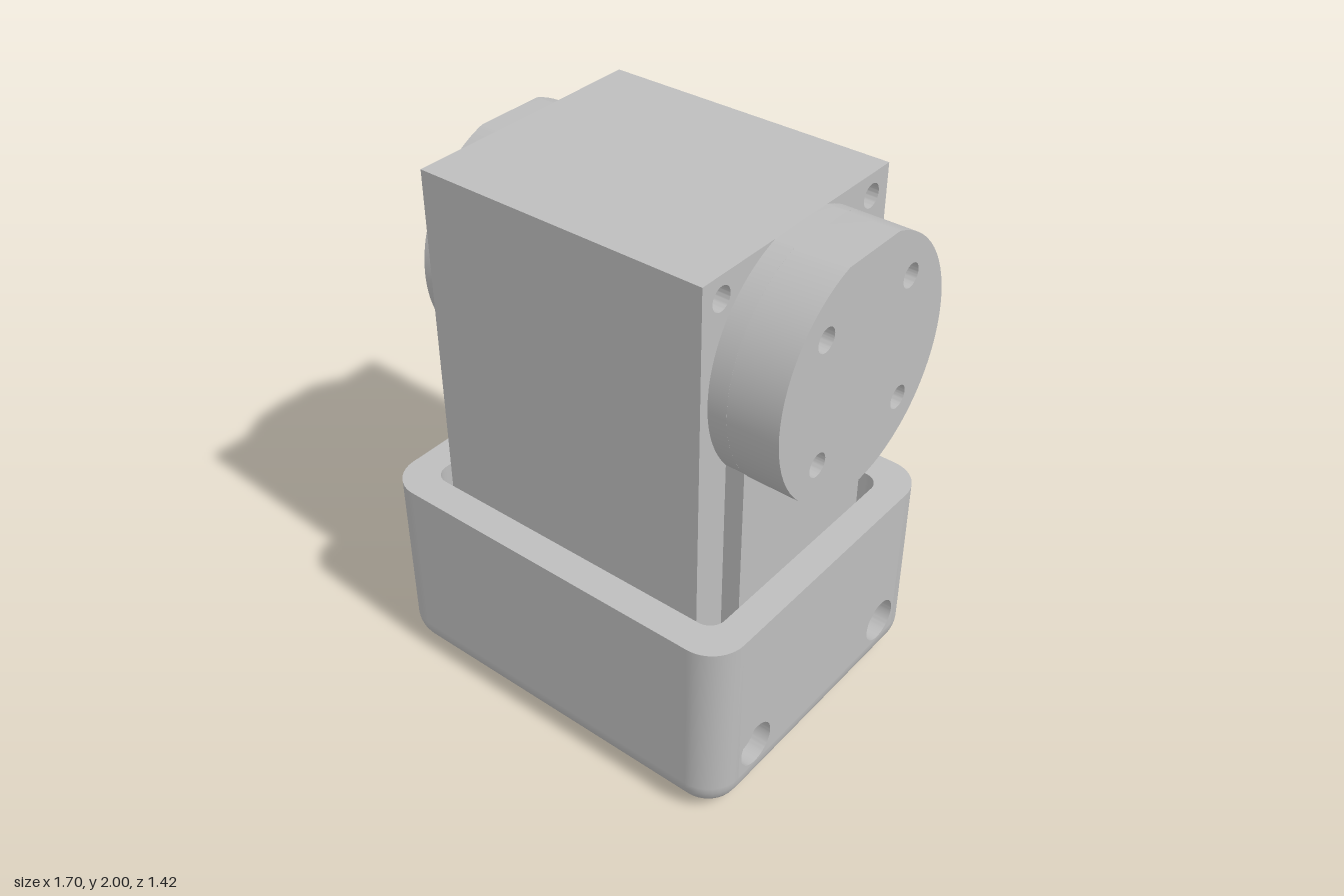
import * as THREE from 'three';
import { toCreasedNormals } from 'three/addons/utils/BufferGeometryUtils.js';

const grey = new THREE.MeshStandardMaterial({ color: 0xbdbdbd });
grey.name = 'plain grey';

const AXIS = 1.58, R = 0.44, TOP = 2;        // output axis height, flange radius, top plane
const HX = 0.745, HZ = 0.61, RIM = 0.76, FILLET = 0.13; // cup half sizes, rim height, rounding
const IX = 0.63, IZ = 0.49, FLOOR = 0.12, INNER = 0.06; // cavity half sizes, floor, rounding
const CORNER = 0.385, BOLT = 0.225;          // screw spacings from the middle

function part(parent, name, geometry) {
  const mesh = new THREE.Mesh(geometry, grey);
  mesh.name = name;
  parent.add(mesh);
  return mesh;
}

function rect(hw, y0, y1) {
  return new THREE.Shape([[-hw, y0], [hw, y0], [hw, y1], [-hw, y1]].map(p => new THREE.Vector2(...p)));
}

function drill(shape, u, v, r) {
  shape.holes.push(new THREE.Path().absarc(u, v, r, 0, Math.PI * 2, true));
}

function drillPairs(shape, du, v0, v1, r) {
  for (const u of [-du, du]) for (const v of [v0, v1]) drill(shape, u, v, r);
}

function extrude(shape, depth) {
  return toCreasedNormals(new THREE.ExtrudeGeometry(shape, { depth, bevelEnabled: false, curveSegments: 32 }), 0.5);
}

// Extrudes a (z, y) profile along x between two positions
function extrudeX(shape, x0, x1) {
  return extrude(shape, x1 - x0).rotateY(Math.PI / 2).translate(x0, 0, 0);
}

// Skin over rounded rectangles; each ring is [corner radius, y].
// The last band leaves the two x sides open for the drilled plates.
function loft(cx, cz, rings) {
  const n = 8, per = 4 * (n + 1), pos = [], idx = [];
  for (const [rad, y] of rings) {
    for (let c = 0; c < 4; c++) {
      const sx = c === 0 || c === 3 ? 1 : -1, sz = c < 2 ? 1 : -1;
      for (let i = 0; i <= n; i++) {
        const a = (c + i / n) * Math.PI / 2;
        pos.push(sx * cx + rad * Math.cos(a), y, sz * cz + rad * Math.sin(a));
      }
    }
  }
  for (let k = 0; k < rings.length - 1; k++) {
    for (let i = 0; i < per; i++) {
      if (k === rings.length - 2 && (i === per - 1 || i === per / 2 - 1)) continue;
      const a = k * per + i, b = k * per + (i + 1) % per;
      idx.push(a, a + per, b, b, a + per, b + per);
    }
  }
  const g = new THREE.BufferGeometry();
  g.setAttribute('position', new THREE.Float32BufferAttribute(pos, 3));
  g.setIndex(idx);
  g.computeVertexNormals();
  return g;
}

function roundedRect(Kind, hx, hz, r) {
  return new Kind()
    .absarc(hx - r, hz - r, r, 0, Math.PI / 2, false)
    .absarc(r - hx, hz - r, r, Math.PI / 2, Math.PI, false)
    .absarc(r - hx, r - hz, r, Math.PI, Math.PI * 1.5, false)
    .absarc(hx - r, r - hz, r, Math.PI * 1.5, Math.PI * 2, false);
}

function buildCup() {
  const cup = new THREE.Group();
  cup.name = 'mountingCup';

  // Outer skin with a rounded bottom edge
  const rings = [];
  for (let i = 0; i <= 8; i++) {
    const t = i / 8 * Math.PI / 2;
    rings.push([FILLET * Math.sin(t), FILLET * (1 - Math.cos(t))]);
  }
  rings.push([FILLET, RIM]);
  part(cup, 'cupOuterWall', loft(HX - FILLET, HZ - FILLET, rings));

  // Cavity wall, running downwards so it faces inwards
  part(cup, 'cupInnerWall', loft(IX - INNER, IZ - INNER, [[INNER, RIM], [INNER, FLOOR]]));

  // Flat rim
  const rim = roundedRect(THREE.Shape, HX, HZ, FILLET);
  rim.holes.push(roundedRect(THREE.Path, IX, IZ, INNER));
  part(cup, 'cupRim', new THREE.ShapeGeometry(rim, 8).rotateX(-Math.PI / 2).translate(0, RIM, 0));

  // Floor with centre hole and four bolt holes
  const floor = new THREE.Shape();
  const fx = HX - FILLET, fz = HZ - FILLET;
  floor.moveTo(-fx, -fz).lineTo(fx, -fz).lineTo(fx, fz).lineTo(-fx, fz).closePath();
  drill(floor, 0, 0, 0.21);
  drillPairs(floor, BOLT, -BOLT, BOLT, 0.042);
  part(cup, 'cupFloor', extrude(floor, FLOOR).rotateX(-Math.PI / 2));

  // Side plates with counterbored screw holes
  const hz = HZ - FILLET, step = HX - 0.06;
  for (const side of [-1, 1]) {
    for (const [r, a, b] of [[0.083, step, HX], [0.05, IX, step]]) {
      const plate = rect(hz, FILLET, RIM);
      for (const u of [-CORNER, CORNER]) drill(plate, u, 0.22, r);
      part(cup, 'cupSidePlate', extrudeX(plate, Math.min(side * a, side * b), Math.max(side * a, side * b)));
    }
  }
  return cup;
}

function buildMotor() {
  const motor = new THREE.Group();
  motor.name = 'motor';

  // Main block with screw holes running through the corners
  const block = rect(0.475, 0.13, TOP);
  drillPairs(block, CORNER, 0.22, 1.92, 0.042);
  part(motor, 'motorBlock', extrudeX(block, -0.55, 0.55));

  // Raised end panels merging into round bosses, cut flat at the top
  const a = Math.asin((TOP - AXIS) / R), w = 0.34, b = Math.acos(w / R);
  const panel = new THREE.Shape().moveTo(-w, 0.13).lineTo(w, 0.13)
    .absarc(0, AXIS, R, -b, a, false)
    .absarc(0, AXIS, R, Math.PI - a, Math.PI + b, false);
  part(motor, 'rightEndPanel', extrudeX(panel, -0.62, -0.55));
  part(motor, 'leftEndPanel', extrudeX(panel, 0.55, 0.62));

  // Output flange with four bolt holes
  const flange = new THREE.Shape().absarc(0, AXIS, R, Math.PI - a, Math.PI * 2 + a, false);
  drillPairs(flange, BOLT, AXIS - BOLT, AXIS + BOLT, 0.042);
  part(motor, 'outputFlange', extrudeX(flange, 0.62, 0.805));

  // Stepped idler shaft on the other end
  for (const [name, r, x0, x1] of [['idlerCollar', 0.237, -0.7, -0.6], ['idlerShaft', 0.21, -0.805, -0.68]]) {
    const g = new THREE.CylinderGeometry(r, r, x1 - x0, 40).rotateZ(Math.PI / 2);
    part(motor, name, g.translate((x0 + x1) / 2, AXIS, 0));
  }
  return motor;
}

export function createModel() {
  const model = new THREE.Group();
  model.name = 'motorInCup';
  const turned = new THREE.Group();
  turned.name = 'turnedAssembly';
  turned.add(buildCup(), buildMotor());
  turned.rotation.y = THREE.MathUtils.degToRad(-10);
  turned.position.set(-0.022, 0, -0.005);
  model.add(turned);
  return model;
}
